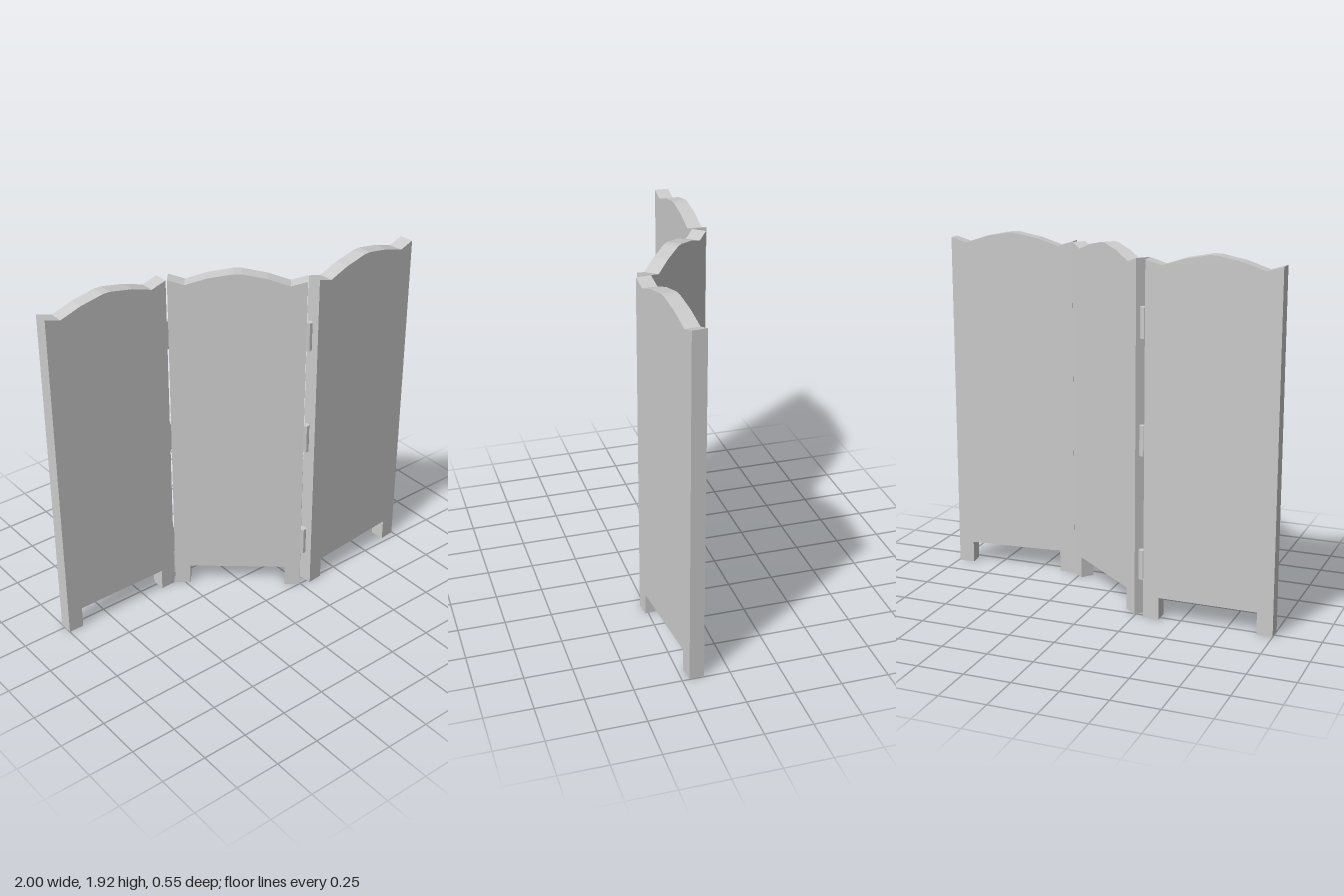
import * as THREE from 'three';

const W = 0.7, DEPTH = 0.078, FOOT = 0.085;

// Panel outline: two feet below, scalloped crest above
function panelGeometry() {
  const h = W / 2, f = h - FOOT;
  const points = [
    [-h, 0], [-f, 0], [-f, 0.12], [f, 0.12], [f, 0], [h, 0],
    [h, 1.883], [f, 1.857], [0.15, 1.895], [0.02, 1.92], [-0.02, 1.92], [-0.15, 1.895], [-f, 1.857], [-h, 1.883],
  ];
  const shape = new THREE.Shape(points.map(([x, y]) => new THREE.Vector2(x, y)));
  const geometry = new THREE.ExtrudeGeometry(shape, { depth: DEPTH, bevelEnabled: false });
  geometry.translate(0, 0, -DEPTH / 2);
  return geometry;
}

export function createModel() {
  const model = new THREE.Group();
  model.name = 'foldingScreen';
  const material = new THREE.MeshStandardMaterial({ color: 0xcccccc, flatShading: true });

  // Three panels folded in a zigzag: name, x, z, turn about y
  const geometry = panelGeometry();
  const panels = [
    ['rightPanel', -0.65, -0.24, 0],
    ['middlePanel', -0.001, -0.003, -THREE.MathUtils.degToRad(40)],
    ['leftPanel', 0.646, 0.204, THREE.MathUtils.degToRad(5)],
  ];
  for (const [name, x, z, turn] of panels) {
    const panel = new THREE.Mesh(geometry, material);
    panel.name = name;
    panel.position.set(x, 0, z);
    panel.rotation.y = turn;
    model.add(panel);
  }

  // Three hinge barrels in each fold
  const barrel = new THREE.CylinderGeometry(0.02, 0.02, 0.16, 8);
  const folds = [['rightHinge', -0.281, -0.242], ['leftHinge', 0.277, 0.227]];
  for (const [name, x, z] of folds) {
    for (const y of [0.28, 0.95, 1.56]) {
      const hinge = new THREE.Mesh(barrel, material);
      hinge.name = name;
      hinge.position.set(x, y, z);
      hinge.rotation.y = Math.PI / 8;
      model.add(hinge);
    }
  }
  return model;
}
